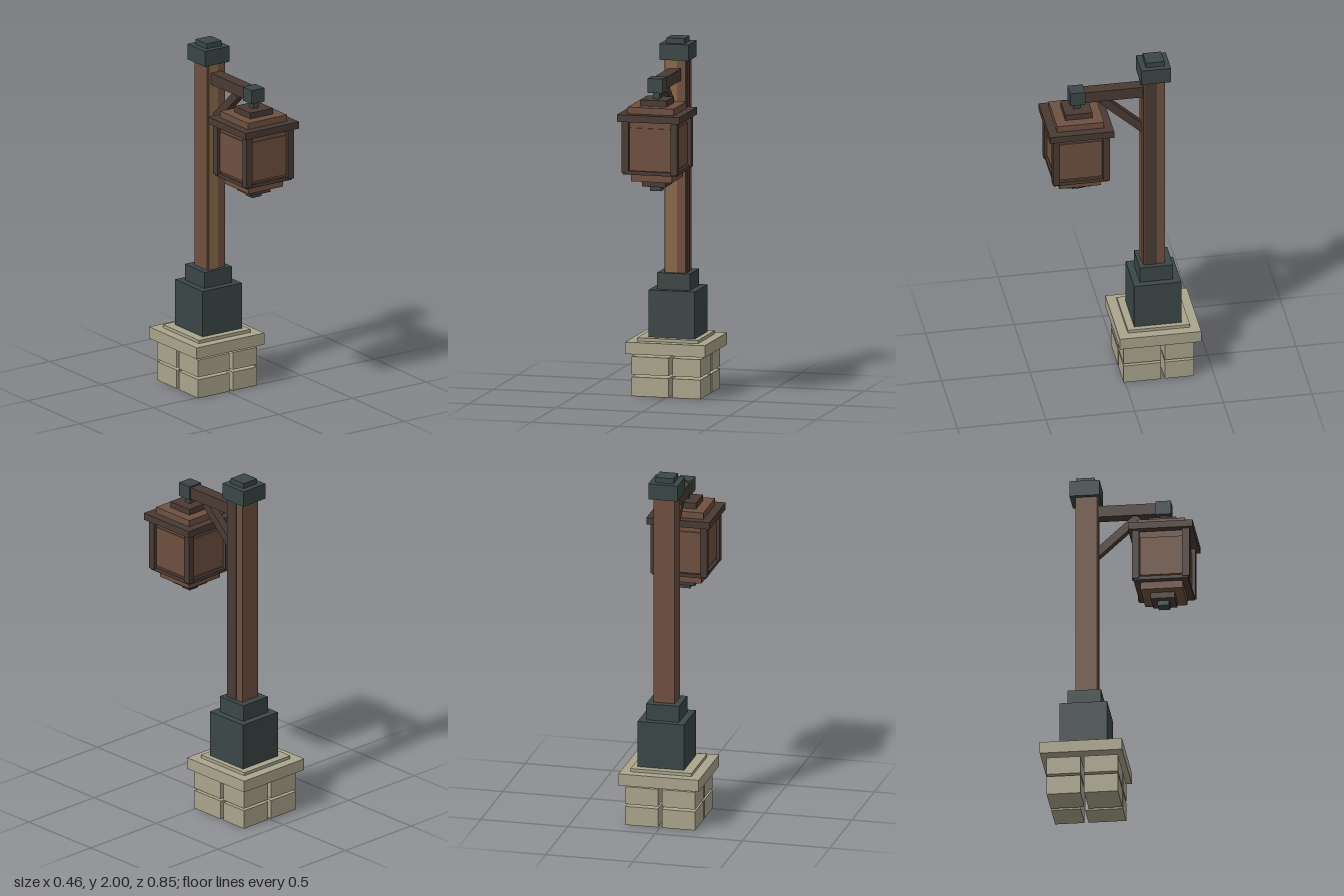
import * as THREE from 'three';

const mat = (name, color) => {
  const m = new THREE.MeshStandardMaterial({ color });
  m.name = name;
  return m;
};

export function createModel() {
  const stone = mat('stone', 0xaaa58d);
  const iron = mat('iron', 0x3b4646);
  const darkWood = mat('darkWood', 0x4a3a33);
  const wood = mat('wood', 0x6e5040);
  const paleWood = mat('paleWood', 0x8a6a4a);

  const model = new THREE.Group();
  model.name = 'lampPost';

  const group = (name) => {
    const g = new THREE.Group();
    g.name = name;
    model.add(g);
    return g;
  };
  // box given by its extents on each axis
  const box = (parent, name, material, [x0, x1], [y0, y1], [z0, z1]) => {
    const mesh = new THREE.Mesh(new THREE.BoxGeometry(x1 - x0, y1 - y0, z1 - z0), material);
    mesh.position.set((x0 + x1) / 2, (y0 + y1) / 2, (z0 + z1) / 2);
    mesh.name = name;
    parent.add(mesh);
    return mesh;
  };
  // square tier centred on (cx, cz) with half width h
  const tier = (parent, name, material, cx, cz, h, y0, y1) =>
    box(parent, name, material, [cx - h, cx + h], [y0, y1], [cz - h, cz + h]);

  // stone plinth: two courses of four blocks with staggered joints
  const plinth = group('plinth');
  for (const y of [[0, 0.108], [0.122, 0.223]]) {
    box(plinth, 'stoneBlock', stone, [-0.2, 0.013], y, [-0.18, 0.008]);
    box(plinth, 'stoneBlock', stone, [0.035, 0.198], y, [-0.203, 0.008]);
    box(plinth, 'stoneBlock', stone, [0.012, 0.198], y, [-0.39, -0.225]);
    box(plinth, 'stoneBlock', stone, [-0.2, -0.01], y, [-0.39, -0.201]);
  }
  tier(plinth, 'slab', stone, 0, -0.195, 0.23, 0.24, 0.307);
  tier(plinth, 'slabLip', stone, 0, -0.195, 0.175, 0.307, 0.325);

  // iron foot and cap
  const cx = 0.012;
  const pz = -0.194;
  const fittings = group('ironFittings');
  tier(fittings, 'foot', iron, cx, pz, 0.133, 0.325, 0.59);
  tier(fittings, 'collar', iron, cx, pz, 0.094, 0.59, 0.683);
  tier(fittings, 'cap', iron, cx, pz, 0.084, 1.88, 1.97);
  tier(fittings, 'capTop', iron, cx, pz, 0.052, 1.97, 2);

  // wooden post with a facing strip on the front and on the left side
  const post = group('post');
  box(post, 'postCore', wood, [-0.047, 0.075], [0.68, 1.885], [-0.247, -0.126]);
  box(post, 'frontStrip', paleWood, [-0.036, 0.025], [0.68, 1.885], [-0.127, -0.12]);
  box(post, 'sideStrip', darkWood, [0.074, 0.08], [0.68, 1.885], [-0.2, -0.132]);

  // arm with diagonal brace
  const arm = group('arm');
  box(arm, 'beam', darkWood, [cx - 0.035, cx + 0.035], [1.766, 1.832], [-0.14, 0.22]);
  const dz = 0.235, dy = 0.215;
  const brace = new THREE.Mesh(new THREE.BoxGeometry(0.046, 0.046, Math.hypot(dz, dy)), darkWood);
  brace.name = 'brace';
  brace.position.set(cx, 1.655, -0.018);
  brace.rotation.x = -Math.atan2(dy, dz);
  arm.add(brace);

  // lantern
  const lz = 0.241;
  const lantern = group('lantern');
  const part = (name, material, h, y0, y1) => tier(lantern, name, material, cx, lz, h, y0, y1);
  part('hangerBlock', iron, 0.043, 1.76, 1.84);
  part('hangerStem', iron, 0.019, 1.72, 1.765);
  part('roofTop', darkWood, 0.077, 1.69, 1.724);
  part('roofMiddle', wood, 0.133, 1.653, 1.69);
  part('roofEave', darkWood, 0.181, 1.613, 1.653);
  part('body', wood, 0.136, 1.33, 1.614);
  part('bottomPlate', darkWood, 0.153, 1.313, 1.334);
  part('baseTier', wood, 0.118, 1.27, 1.313);
  part('lowerTier', darkWood, 0.067, 1.235, 1.27);
  part('finial', iron, 0.032, 1.207, 1.235);
  for (const sx of [-1, 1]) for (const sz of [-1, 1])
    tier(lantern, 'cornerPost', darkWood, cx + sx * 0.141, lz + sz * 0.141, 0.02, 1.322, 1.614);
  // one panel on each of the four sides
  for (let i = 0; i < 4; i++) {
    const a = i * Math.PI / 2;
    const panel = new THREE.Mesh(new THREE.BoxGeometry(0.236, 0.23, 0.009), wood);
    panel.name = 'sidePanel';
    panel.position.set(cx + Math.sin(a) * 0.139, 1.46, lz + Math.cos(a) * 0.139);
    panel.rotation.y = a;
    lantern.add(panel);
  }

  return model;
}
